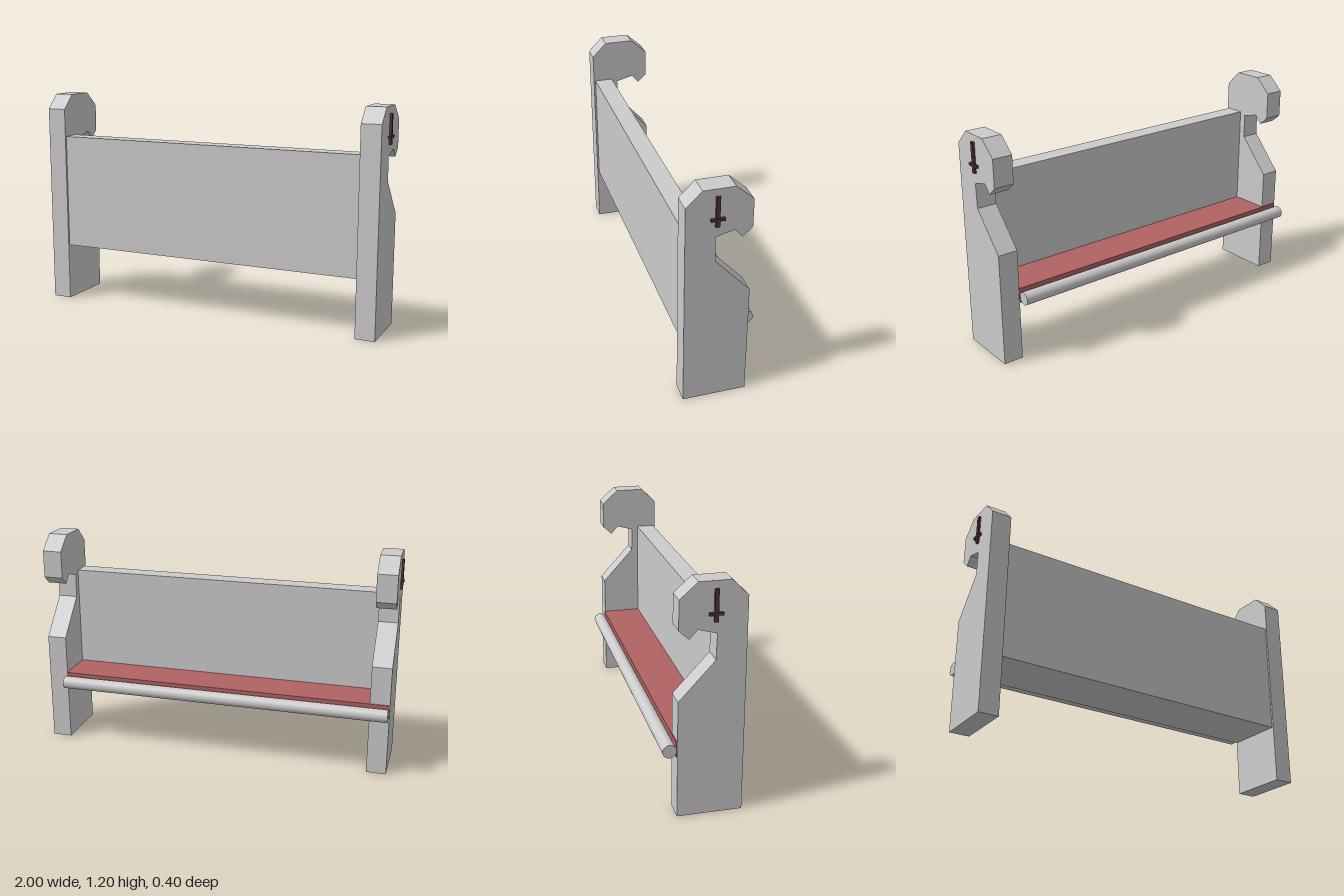
import * as THREE from 'three';

const grey = new THREE.MeshStandardMaterial({ color: 0xcccccc });
const red = new THREE.MeshStandardMaterial({ color: 0xb06262 });
const darkRed = new THREE.MeshStandardMaterial({ color: 0x573131 });

// Box given by its lower and upper limits on each axis
function box(name, material, [x0, x1], [y0, y1], [z0, z1]) {
  const mesh = new THREE.Mesh(new THREE.BoxGeometry(x1 - x0, y1 - y0, z1 - z0), material);
  mesh.position.set((x0 + x1) / 2, (y0 + y1) / 2, (z0 + z1) / 2);
  mesh.name = name;
  return mesh;
}

// Side outline of a bench end as [z, y]
const endOutline = [
  [0.2, 0], [0.2, 1.12], [0.12, 1.2], [-0.04, 1.2], [-0.13, 1.12], [-0.13, 0.97],
  [-0.08, 0.925], [-0.04, 0.97], [0.054, 0.945], [0.05, 0.812], [-0.13, 0.615], [-0.13, 0],
];

function endPanelGeometry(width) {
  const shape = new THREE.Shape(endOutline.map(([z, y]) => new THREE.Vector2(-z, y)));
  const geometry = new THREE.ExtrudeGeometry(shape, { depth: width, bevelEnabled: false });
  geometry.rotateY(Math.PI / 2);
  geometry.translate(-width / 2, 0, 0);
  return geometry;
}

export function createModel() {
  const bench = new THREE.Group();
  bench.name = 'bench';

  // Carved ends, each with an inlaid ornament on its outer face
  const endGeometry = endPanelGeometry(0.108);
  for (const [side, s] of [['left', 1], ['right', -1]]) {
    const end = new THREE.Group();
    end.name = `${side}End`;
    const panel = new THREE.Mesh(endGeometry, grey);
    panel.name = `${side}EndPanel`;
    panel.position.x = s * 0.931;
    const span = (a, b) => (s > 0 ? [a, b] : [-b, -a]);
    end.add(
      panel,
      box(`${side}OrnamentUpright`, darkRed, span(0.98, 0.997), [1.003, 1.163], [0.036, 0.056]),
      box(`${side}OrnamentBar`, darkRed, span(0.98, 1), [1.036, 1.05], [0.011, 0.08]),
    );
    bench.add(end);
  }

  // Backrest, seat board and cushion
  bench.add(
    box('backrest', grey, [-0.88, 0.88], [0.32, 0.963], [0.088, 0.19]),
    box('seatBoard', grey, [-0.88, 0.88], [0.32, 0.335], [-0.13, 0.088]),
    box('cushion', red, [-0.88, 0.88], [0.335, 0.405], [-0.133, 0.088]),
    box('cushionLip', red, [-0.98, 0.875], [0.325, 0.405], [-0.135, -0.128]),
  );

  // Round rail along the seat edge
  const rail = new THREE.Mesh(new THREE.CylinderGeometry(0.035, 0.035, 1.855, 32), grey);
  rail.name = 'seatRail';
  rail.rotation.z = Math.PI / 2;
  rail.position.set(-0.0525, 0.358, -0.167);
  bench.add(rail);

  return bench;
}
